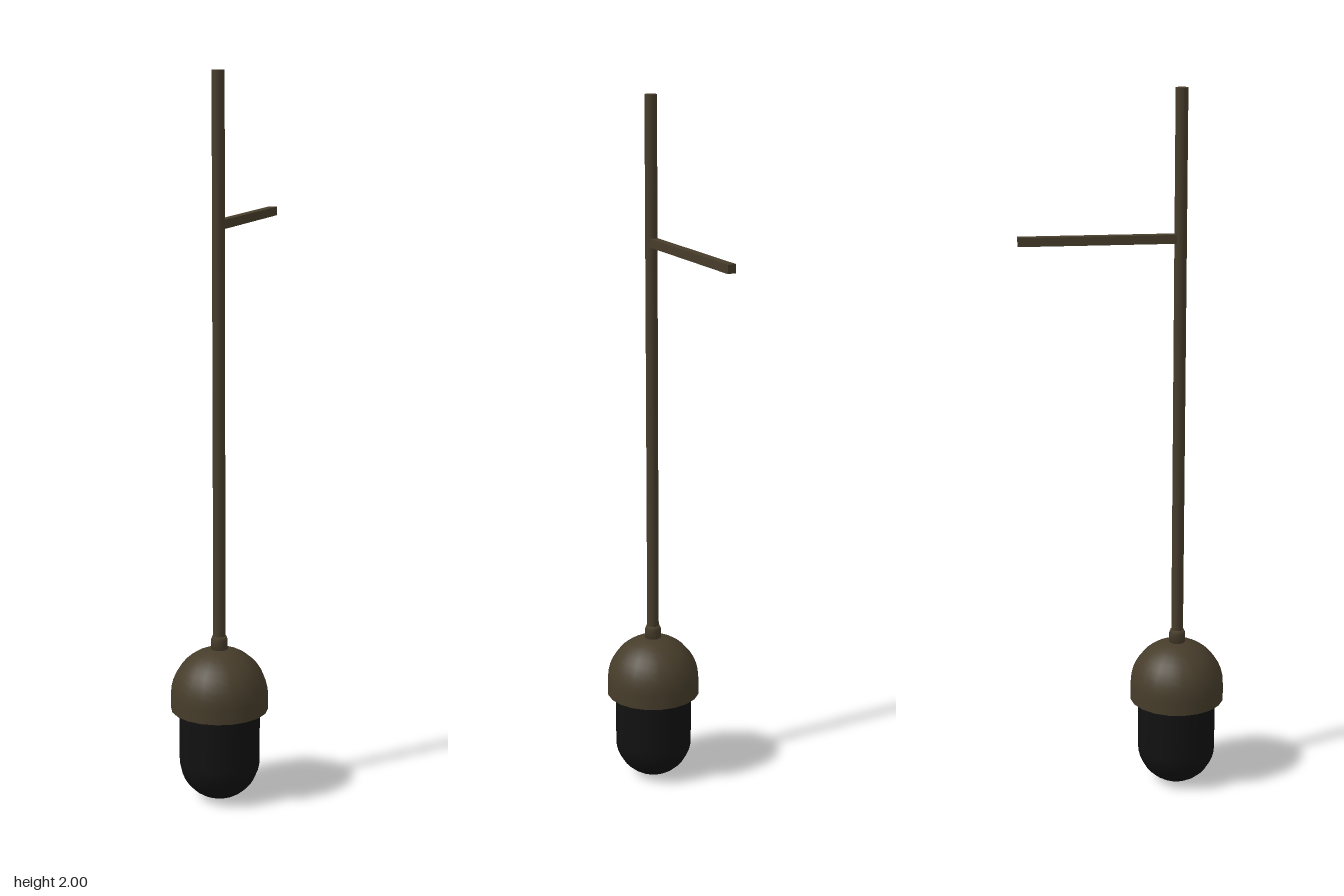
import * as THREE from 'three';

const bronze = new THREE.MeshStandardMaterial({ color: 0x463c2a });
const black = new THREE.MeshStandardMaterial({ color: 0x111111 });

export function createModel() {
  const model = new THREE.Group();

  function add(name, geometry, material, y, z) {
    const mesh = new THREE.Mesh(geometry, material);
    mesh.name = name;
    mesh.position.set(0, y, z);
    model.add(mesh);
    return mesh;
  }

  // Quarter-circle profile points, from angle a0 to a1
  function arc(radius, height, y, a0, a1, steps = 8) {
    return Array.from({ length: steps + 1 }, (_, i) => {
      const a = a0 + (a1 - a0) * i / steps;
      return new THREE.Vector2(Math.max(0, radius * Math.cos(a)), y + height * Math.sin(a));
    });
  }

  const axisZ = 0.15;
  const q = Math.PI / 2;

  // Long hanging rod, running down into the housing
  add('hangingRod', new THREE.CylinderGeometry(0.017, 0.017, 1.57, 16), bronze, 1.215, axisZ);

  // Bracket arm reaching back to the wall
  add('wallArm', new THREE.BoxGeometry(0.024, 0.024, 0.438), bronze, 1.6, -0.069);

  // Collar where the rod meets the dome
  const collar = [[0, 0.42], [0.023, 0.42], [0.023, 0.46], [0.019, 0.47], [0, 0.47]];
  add('collar', new THREE.LatheGeometry(collar.map(p => new THREE.Vector2(...p)), 16), bronze, 0, axisZ);

  // Domed housing with a short straight skirt
  const dome = [new THREE.Vector2(0.135, 0.26), ...arc(0.135, 0.135, 0.30, 0, q, 10)];
  add('domeHousing', new THREE.LatheGeometry(dome, 20), bronze, 0, axisZ);

  // Flat underside of the housing
  add('domeUnderside', new THREE.CircleGeometry(0.135, 20).rotateX(q).rotateY(q), bronze, 0.26, axisZ);

  // Dark lens with a rounded bottom
  const lens = [...arc(0.112, 0.112, 0.112, -q, 0, 10), new THREE.Vector2(0.112, 0.27)];
  add('lens', new THREE.LatheGeometry(lens, 20), black, 0, axisZ);

  return model;
}
